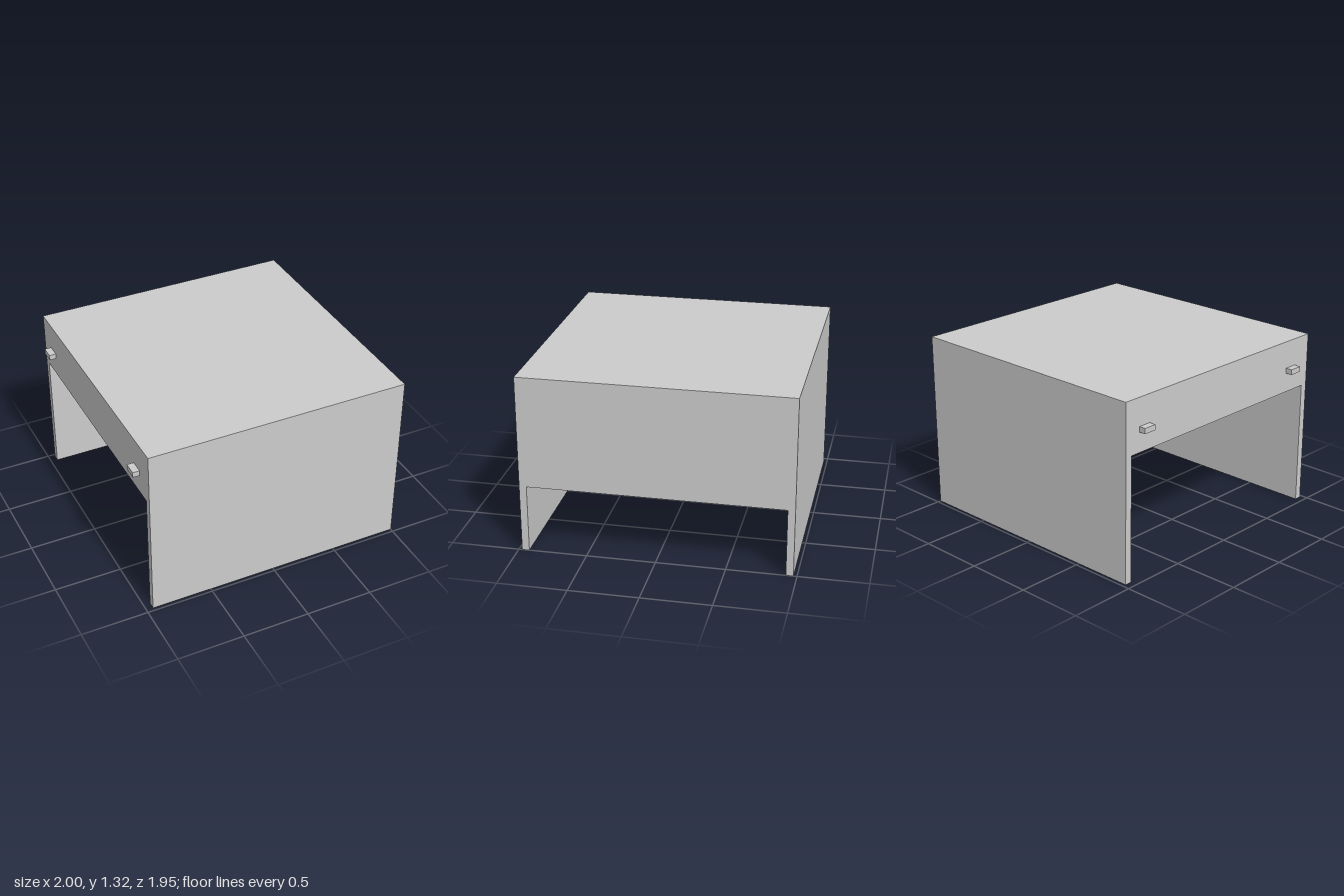
import * as THREE from 'three';

const WIDTH = [-0.95, 1];   // extent along x
const HEIGHT = 1.32;
const HALF_DEPTH = 0.975;
const BOARD = 0.053;        // board thickness

export function createModel() {
  const model = new THREE.Group();
  model.name = 'desk';
  const material = new THREE.MeshStandardMaterial({ color: 0xcccccc });

  // Box given by its extents along each axis
  const addBox = (name, [x0, x1], [y0, y1], [z0, z1]) => {
    const mesh = new THREE.Mesh(new THREE.BoxGeometry(x1 - x0, y1 - y0, z1 - z0), material);
    mesh.position.set((x0 + x1) / 2, (y0 + y1) / 2, (z0 + z1) / 2);
    mesh.name = name;
    model.add(mesh);
  };

  // Desk top and both side panels: one upside-down U, extruded along x
  const inner = HALF_DEPTH - BOARD;
  const under = HEIGHT - BOARD;
  const outline = new THREE.Shape([
    [-HALF_DEPTH, 0], [-inner, 0], [-inner, under], [inner, under],
    [inner, 0], [HALF_DEPTH, 0], [HALF_DEPTH, HEIGHT], [-HALF_DEPTH, HEIGHT],
  ].map(([z, y]) => new THREE.Vector2(z, y)));
  const frame = new THREE.Mesh(
    new THREE.ExtrudeGeometry(outline, { depth: WIDTH[1] - WIDTH[0], bevelEnabled: false }),
    material,
  );
  frame.rotation.y = Math.PI / 2;
  frame.position.x = WIDTH[0];
  frame.name = 'topAndSidePanels';
  model.add(frame);

  // Modesty panel closing the upper part of the far side
  addBox('modestyPanel', [WIDTH[1] - BOARD, WIDTH[1]], [0.5, under], [-inner, inner]);

  // Wide drawer under the top, reaching partway in
  addBox('drawer', [WIDTH[0], 0.23], [0.93, under], [-inner, inner]);

  // Drawer pulls
  for (const z of [-0.795, 0.775]) {
    addBox('drawerPull', [-1, WIDTH[0]], [1.075, 1.115], [z - 0.05, z + 0.05]);
  }

  return model;
}
